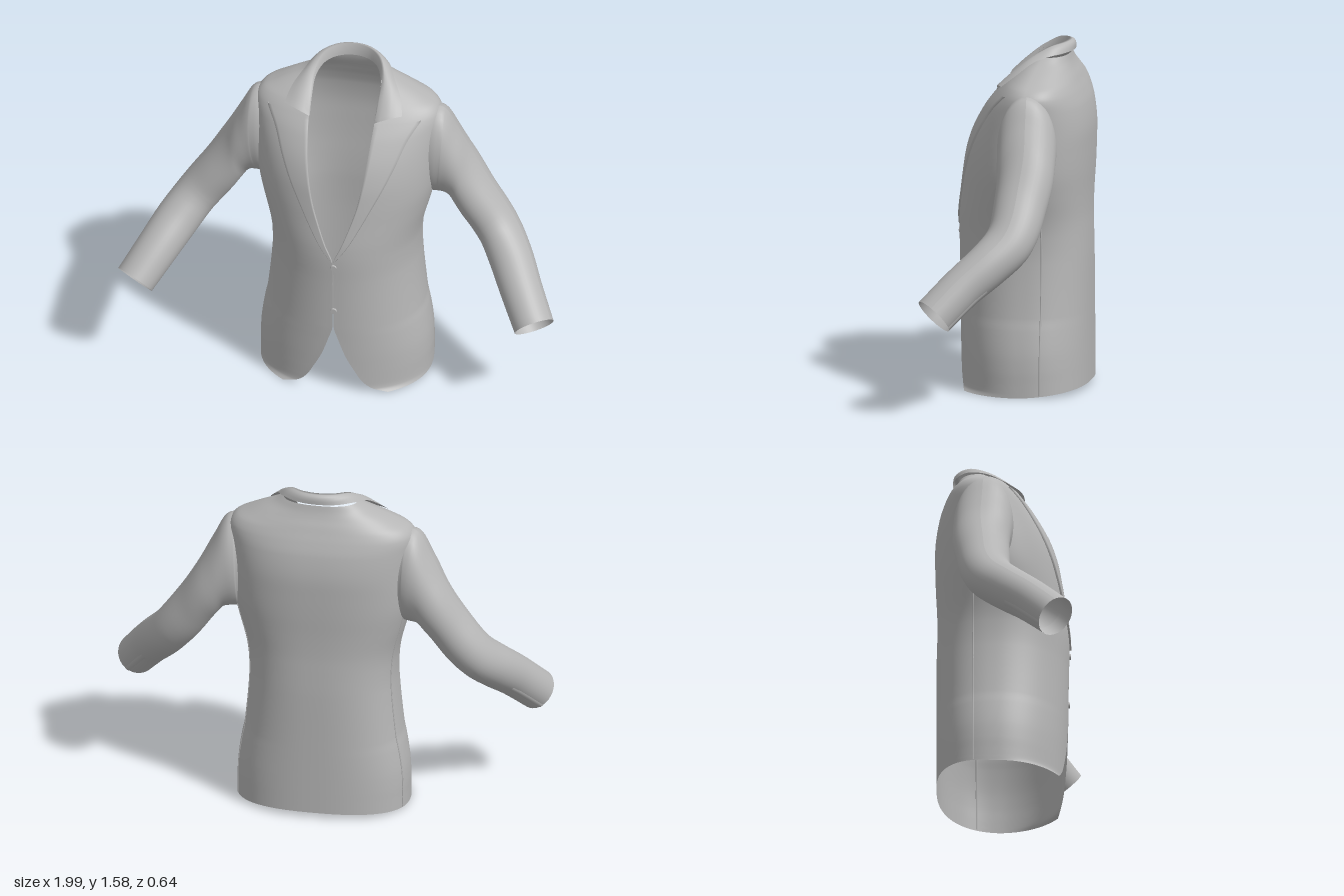
import * as THREE from 'three';

const cloth = new THREE.MeshStandardMaterial({ color: 0xb6b6b6, side: THREE.DoubleSide });
cloth.name = 'greyCloth';

// Smooth surface through a grid of points given by fn(i, j)
function loft(name, rows, cols, fn) {
  const pos = [], idx = [];
  for (let i = 0; i <= rows; i++)
    for (let j = 0; j <= cols; j++) pos.push(...fn(i, j));
  for (let i = 0; i < rows; i++)
    for (let j = 0; j < cols; j++) {
      const a = i * (cols + 1) + j, b = a + cols + 1;
      idx.push(a, a + 1, b, b, a + 1, b + 1);
    }
  const g = new THREE.BufferGeometry();
  g.setAttribute('position', new THREE.Float32BufferAttribute(pos, 3));
  g.setIndex(idx);
  g.computeVertexNormals();
  const m = new THREE.Mesh(g, cloth);
  m.name = name;
  return m;
}

// Torso levels: y, half width, front z at the opening, back z, side z, opening half width
const levels = [
  [0, .39, .225, -.315, -.04, .24], [.02, .39, .24, -.315, -.04, .175],
  [.06, .39, .253, -.315, -.04, .13], [.12, .39, .262, -.315, -.04, .095],
  [.2, .385, .27, -.315, -.04, .055], [.3, .37, .275, -.315, -.04, .02],
  [.36, .358, .277, -.315, -.04, .003], [.6, .335, .28, -.315, -.04, .003],
  [.72, .337, .283, -.312, -.04, .003], [.8, .35, .278, -.31, -.04, .035],
  [.9, .377, .262, -.312, -.045, .07], [1, .4, .245, -.317, -.05, .1],
  [1.1, .41, .225, -.32, -.055, .12], [1.2, .415, .19, -.32, -.06, .135],
  [1.3, .422, .135, -.305, -.07, .145], [1.36, .422, .09, -.285, -.08, .15],
  [1.4, .395, .055, -.268, -.085, .152], [1.43, .34, .025, -.255, -.09, .154],
  [1.46, .28, -.01, -.24, -.1, .155], [1.49, .215, -.045, -.228, -.11, .153],
  [1.52, .17, -.085, -.22, -.12, .148],
];

// Smooth lookup in a table whose first column is the key
function lookup(table, y) {
  const n = table.length;
  let i = 0;
  while (i < n - 2 && y > table[i + 1][0]) i++;
  const a = table[i], b = table[i + 1], h = b[0] - a[0], t = (y - a[0]) / h;
  const p = table[Math.max(i - 1, 0)], q = table[Math.min(i + 2, n - 1)];
  return a.map((v, k) => {
    const m0 = (b[k] - p[k]) / (b[0] - p[0]) * h, m1 = (q[k] - a[k]) / (q[0] - a[0]) * h;
    const t2 = t * t, t3 = t2 * t;
    return v * (2 * t3 - 3 * t2 + 1) + m0 * (t3 - 2 * t2 + t) + b[k] * (3 * t2 - 2 * t3) + m1 * (t3 - t2);
  });
}

const FRONT = 2 / 2.05, BACK = 2 / 2.5;
const angleAt = (x, W) => Math.acos(Math.min(1, Math.pow(Math.min(1, x / W), 1 / FRONT)));

// Point on the left half of the torso; t runs from -90 degrees (back) to 90 (front)
function section(y) {
  const [, W, zE, zB, zc, e0] = lookup(levels, y);
  const e = Math.max(e0, .002), end = angleAt(e, W);
  const depth = (zE - zc) / Math.pow(Math.sin(end), FRONT);
  const at = t => {
    const c = Math.max(0, Math.cos(t)), s = Math.sin(t);
    return t > 0
      ? [W * Math.pow(c, FRONT), y, zc + depth * Math.pow(s, FRONT)]
      : [W * Math.pow(c, BACK), y + .025 * -s * Math.max(0, 1 - y / .3), zc + (zB - zc) * Math.pow(-s, BACK)];
  };
  return { e, end, W, at };
}

function makeTorso() {
  const ys = [];
  levels.forEach((l, i) => {
    if (i) for (let k = 0; k < 4; k++) ys.push(THREE.MathUtils.lerp(levels[i - 1][0], l[0], k / 4));
  });
  ys.push(1.52);
  const N = 40;
  return loft('jacketBody', ys.length - 1, 2 * N, (i, j) => {
    const s = section(ys[i]), u = (j - N) / N;
    const p = s.at(-Math.PI / 2 + Math.abs(u) * (s.end + Math.PI / 2));
    p[0] *= Math.sign(u);
    return p;
  });
}

// Lapel lying just above the chest
const lapelEdge = [[.72, .004], [.8, .06], [.9, .115], [1, .165], [1.1, .215], [1.2, .26], [1.3, .302], [1.37, .35]];
function makeLapel(side) {
  return loft('lapel', 40, 12, (i, j) => {
    const y = .72 + .65 * i / 40, s = section(y);
    const outer = Math.max(lookup(lapelEdge, y)[1], s.e + .001);
    const f = THREE.MathUtils.clamp((j - 1) / 10, 0, 1);
    const p = s.at(angleAt(s.e + (outer - s.e) * f, s.W));
    const lift = j === 0 || j === 12 ? -.002 : .008;
    return [side * (p[0] + lift * .3 * f), p[1], p[2] + lift];
  });
}

// Collar: stand, ridge and fall, swept round the neck
function makeCollar() {
  const path = pts => new THREE.CatmullRomCurve3([
    ...pts.map(p => new THREE.Vector3(...p)),
    ...pts.slice(0, -1).reverse().map(p => new THREE.Vector3(-p[0], p[1], p[2])),
  ]);
  const inner = path([[.148, 1.365, .075], [.15, 1.43, .02], [.148, 1.49, -.06], [.12, 1.515, -.14], [.07, 1.52, -.19], [0, 1.522, -.207]]);
  const ridge = path([[.15, 1.37, .088], [.158, 1.45, .012], [.155, 1.52, -.07], [.125, 1.565, -.145], [.07, 1.577, -.195], [0, 1.58, -.212]]);
  const outer = path([[.27, 1.4, .05], [.25, 1.45, -.015], [.205, 1.505, -.09], [.165, 1.53, -.17], [.09, 1.535, -.225], [0, 1.535, -.24]]);
  return loft('collar', 60, 6, (i, j) => {
    const t = i / 60, r = ridge.getPoint(t);
    if (j === 0) return inner.getPoint(t).toArray();
    const f = (j - 1) / 5, p = r.lerp(outer.getPoint(t), f), bulge = Math.sin(f * Math.PI);
    const away = Math.cos(t * 2 * Math.PI);
    return [p.x, p.y + .01 * bulge, p.z + .011 * bulge * away];
  });
}

// Sleeve rings: top point, bottom point, front-to-back radius
const rings = [
  [[.33, 1.36, -.09], [.32, .98, -.09], .11], [[.40, 1.385, -.09], [.38, .935, -.09], .13],
  [[.44, 1.37, -.095], [.405, .932, -.095], .134], [[.5, 1.265, -.1], [.445, .928, -.1], .132],
  [[.56, 1.15, -.105], [.485, .882, -.1], .128], [[.64, 1.015, -.095], [.535, .81, -.09], .12],
  [[.73, .885, -.08], [.59, .738, -.075], .113], [[.785, .81, -.05], [.625, .695, -.05], .11],
  [[.845, .735, .02], [.68, .622, .02], .102], [[.91, .64, .125], [.752, .53, .125], .096],
  [[.99, .517, .24], [.84, .413, .24], .094],
];
const tops = new THREE.CatmullRomCurve3(rings.map(r => new THREE.Vector3(...r[0])));
const bottoms = new THREE.CatmullRomCurve3(rings.map(r => new THREE.Vector3(...r[1])));
function sleevePoint(s, a, grow = 1) {
  const mid = t => tops.getPoint(t).add(bottoms.getPoint(t)).multiplyScalar(.5);
  const c = mid(s), up = tops.getPoint(s).sub(c);
  const dir = mid(Math.min(1, s + .02)).sub(mid(Math.max(0, s - .02)));
  const k = Math.min(s * (rings.length - 1), rings.length - 1.001), i = Math.floor(k);
  const r = THREE.MathUtils.lerp(rings[i][2], rings[i + 1][2], k - i);
  const v = dir.cross(up).normalize().multiplyScalar(r);
  return c.addScaledVector(up, Math.cos(a) * grow).addScaledVector(v, Math.sin(a) * grow);
}

function makeSleeve(side) {
  const g = new THREE.Group();
  g.name = side > 0 ? 'leftSleeve' : 'rightSleeve';
  const put = p => [side * p.x, p.y, p.z];
  g.add(loft('sleeve', 50, 36, (i, j) => put(sleevePoint(i / 50, j / 36 * Math.PI * 2))));
  // turned-in cuff and the overlap of its vent
  g.add(loft('cuffHem', 2, 36, (i, j) => put(sleevePoint(1 - .04 * i / 2, j / 36 * Math.PI * 2, i ? .96 : 1))));
  g.add(loft('cuffVent', 8, 4, (i, j) =>
    put(sleevePoint(.86 + .14 * i / 8, -Math.PI / 2 - .15 + .3 * j / 4, j === 0 || j === 4 ? .99 : 1.025))));
  return g;
}

// Raised seam between the side and back panels
function makeSideSeam(side) {
  const pts = [];
  for (let i = 0; i <= 14; i++) {
    const p = section(.004 + i * .07).at(-.3);
    pts.push(new THREE.Vector3(side * p[0], p[1], p[2]));
  }
  const m = new THREE.Mesh(new THREE.TubeGeometry(new THREE.CatmullRomCurve3(pts), 40, .004, 6), cloth);
  m.name = 'sideSeam';
  return m;
}

export function createModel() {
  const jacket = new THREE.Group();
  jacket.name = 'jacket';
  jacket.add(makeTorso(), makeCollar());
  for (const side of [1, -1]) jacket.add(makeLapel(side), makeSleeve(side), makeSideSeam(side));
  // front buttons
  for (const y of [.69, .45]) {
    const b = new THREE.Mesh(new THREE.CylinderGeometry(.013, .015, .008, 20), cloth);
    b.name = 'button';
    b.rotation.x = Math.PI / 2;
    b.position.set(.003, y, lookup(levels, y)[2] + .003);
    jacket.add(b);
  }
  return jacket;
}
